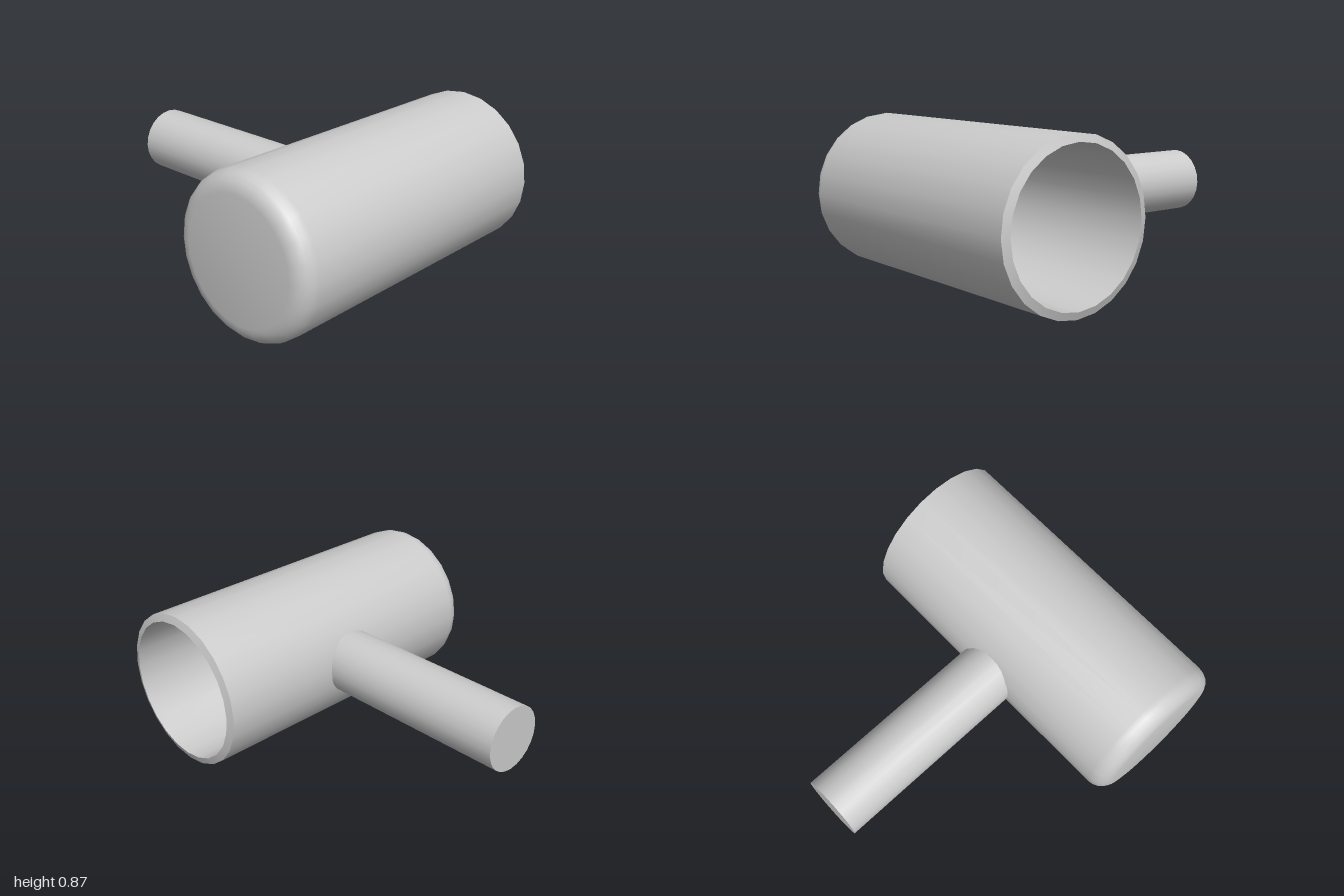
import * as THREE from 'three';
import { toCreasedNormals } from 'three/addons/utils/BufferGeometryUtils.js';

const SIDES = 24;

// Quarter-round profile points between a floor and a wall, wall end first
function fillet(wallRadius, floor, r, steps = 5) {
  return Array.from({ length: steps + 1 }, (_, i) => {
    const a = (i / steps) * Math.PI / 2;
    return new THREE.Vector2(wallRadius - r + r * Math.cos(a), floor - r + r * Math.sin(a));
  });
}

export function createModel() {
  const group = new THREE.Group();
  const material = new THREE.MeshStandardMaterial({ color: 0xcccccc });

  // Hollow cup lying along z: rounded closed end in front, bevelled rim at the back
  const profile = [
    new THREE.Vector2(0, 0.86),
    ...fillet(0.395, 0.86, 0.06).reverse(),
    new THREE.Vector2(0.395, -0.9),
    new THREE.Vector2(0.436, -0.885),
    ...fillet(0.436, 0.9, 0.1),
    new THREE.Vector2(0, 0.9),
  ];
  const cupGeometry = new THREE.LatheGeometry(profile, SIDES).rotateX(Math.PI / 2);
  const cup = new THREE.Mesh(toCreasedNormals(cupGeometry, 0.65), material);
  cup.name = 'cup';
  cup.position.set(0.56, 0.436, 0);
  group.add(cup);

  // Straight round handle, ending inside the cup wall
  const handleStart = -1, handleEnd = 0.165;
  const length = handleEnd - handleStart;
  const handleGeometry = new THREE.CylinderGeometry(0.18, 0.18, length, SIDES).rotateZ(Math.PI / 2);
  const handle = new THREE.Mesh(handleGeometry, material);
  handle.name = 'handle';
  handle.position.set((handleStart + handleEnd) / 2, 0.438, -0.015);
  group.add(handle);

  return group;
}
